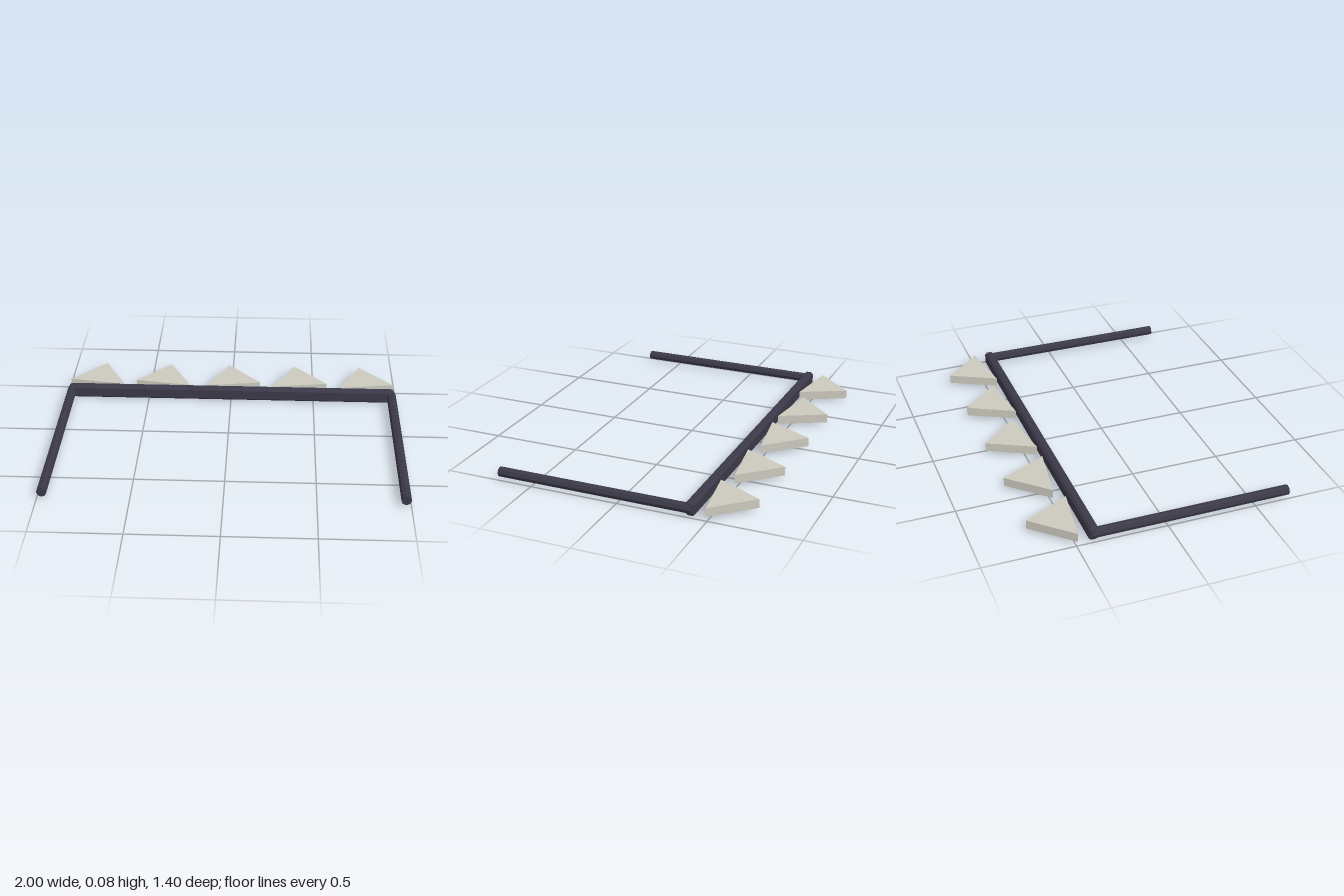
import * as THREE from 'three';

const MID = 0.039; // shared centre height

export function createModel() {
  const model = new THREE.Group();
  const darkMetal = new THREE.MeshStandardMaterial({ color: 0x3b3948, flatShading: true });
  darkMetal.name = 'darkMetal';
  const paleSteel = new THREE.MeshStandardMaterial({ color: 0xcbc9be, flatShading: true });
  paleSteel.name = 'paleSteel';

  const add = (name, geometry, material) => {
    const mesh = new THREE.Mesh(geometry, material);
    mesh.name = name;
    model.add(mesh);
    return mesh;
  };

  // Crossbar: chamfered section swept along x, with bevelled ends
  const b = 0.01, length = 1.97, w = 0.026 - b, h = MID - b, c = 0.006;
  const section = new THREE.Shape([
    [w, -h + c], [w, h - c], [w - c, h], [-w + c, h],
    [-w, h - c], [-w, -h + c], [-w + c, -h], [w - c, -h],
  ].map(([x, y]) => new THREE.Vector2(x, y)));
  const bar = new THREE.ExtrudeGeometry(section, {
    depth: length - 2 * b, bevelEnabled: true, bevelSize: b, bevelThickness: b, bevelSegments: 1,
  });
  bar.translate(0, 0, b - length / 2).rotateY(Math.PI / 2);
  add('crossbar', bar, darkMetal).position.set(0, MID, -0.4);

  // Side arms running forward from the ends of the bar
  for (const side of [-1, 1]) {
    const arm = new THREE.CylinderGeometry(0.028, 0.028, 1.11, 8).rotateX(Math.PI / 2);
    add(side > 0 ? 'leftArm' : 'rightArm', arm, darkMetal).position.set(side * 0.972, MID, 0.145);
  }

  // Triangular teeth behind the bar; lean sets which base corner is raised
  const teeth = [[-0.79, -1], [-0.385, -1], [-0.022, 1], [0.385, 1], [0.79, 1]];
  teeth.forEach(([x, lean], i) => {
    const corners = [[0, 0.7], [lean * 0.198, 0.487], [-lean * 0.133, 0.44]];
    const outline = new THREE.Shape(corners.map(([px, py]) => new THREE.Vector2(px, py)));
    const tooth = new THREE.ExtrudeGeometry(outline, { depth: 0.05, bevelEnabled: false });
    tooth.translate(0, 0, -0.025).rotateX(-Math.PI / 2);
    add(`tooth${i + 1}`, tooth, paleSteel).position.set(x, MID + 0.001, 0);
  });

  return model;
}
